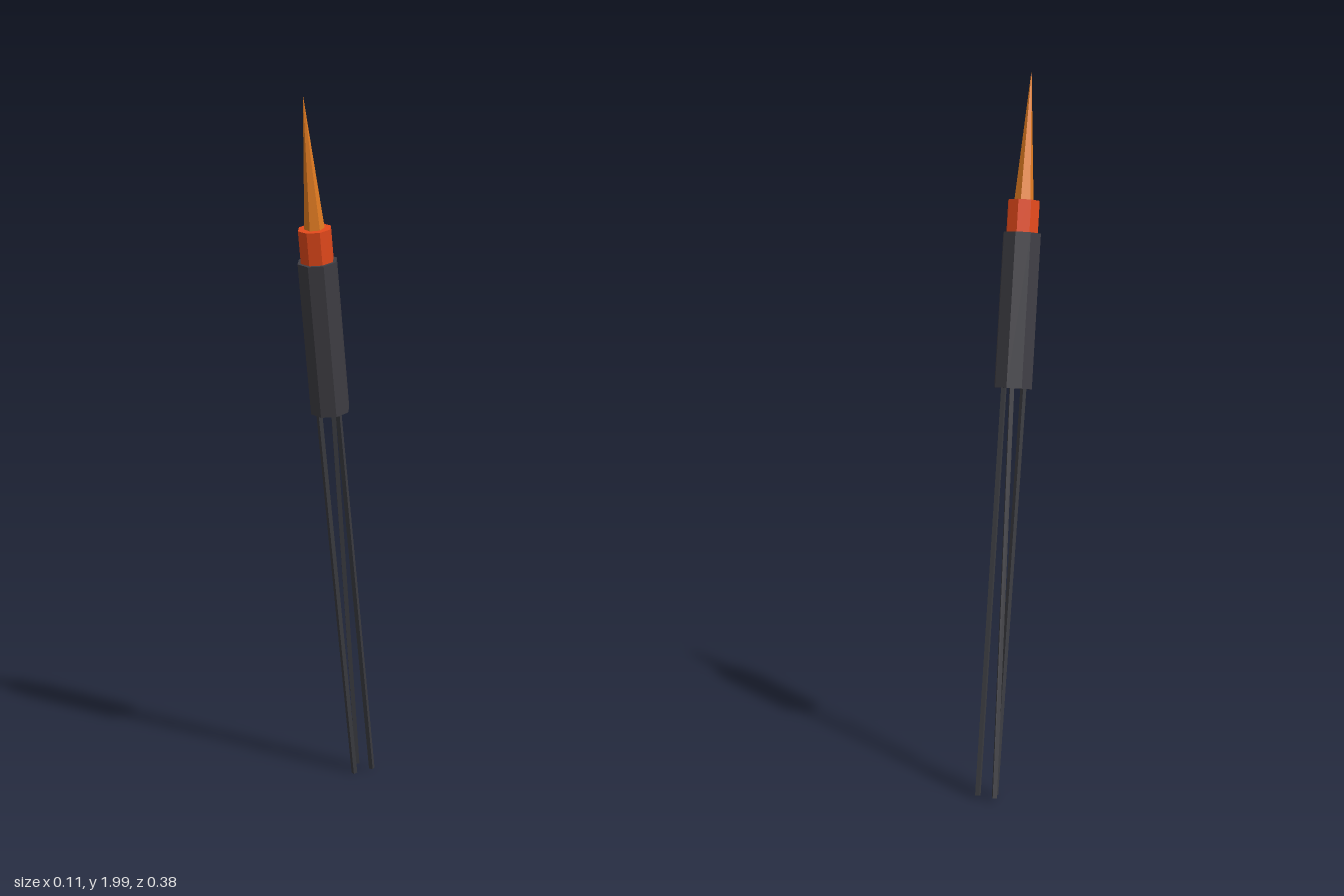
import * as THREE from 'three';

const paint = (name, color) => {
  const m = new THREE.MeshStandardMaterial({ color, flatShading: true });
  m.name = name;
  return m;
};

export function createModel() {
  const charcoal = paint('charcoal', 0x3f3e44);
  const darkSteel = paint('dark steel', 0x3a3b40);
  const red = paint('red orange', 0xe4491b);
  const amber = paint('amber', 0xe67e22);

  const model = new THREE.Group();
  model.name = 'tiltedDart';

  // everything leans forward, with the bottom of the body as the pivot
  const lean = new THREE.Group();
  lean.name = 'leaningAssembly';
  lean.position.set(0, 1.13, 0.035);
  lean.rotation.x = THREE.MathUtils.degToRad(10);
  model.add(lean);

  // prism or cone standing on the axis between two heights
  const stack = (name, mat, rTop, rBottom, y0, y1, sides) => {
    const mesh = new THREE.Mesh(new THREE.CylinderGeometry(rTop, rBottom, y1 - y0, sides), mat);
    mesh.name = name;
    mesh.position.y = (y0 + y1) / 2;
    lean.add(mesh);
  };
  stack('body', charcoal, 0.055, 0.055, -0.003, 0.426, 8);
  stack('collar', red, 0.046, 0.046, 0.426, 0.516, 8);
  stack('spike', amber, 0, 0.027, 0.516, 0.877, 6);

  // three thin square rods in a ring, each twisted slightly about its own radius
  const length = 1.145;
  const rodGeometry = new THREE.BoxGeometry(0.012, length, 0.012);
  for (let i = 0; i < 3; i++) {
    const arm = new THREE.Group();
    arm.name = 'rodMount' + (i + 1);
    arm.rotation.y = (i * Math.PI * 2) / 3;
    const rod = new THREE.Mesh(rodGeometry, darkSteel);
    rod.name = 'rod' + (i + 1);
    rod.position.set(0.03, 0.01 - length / 2, 0);
    rod.rotation.x = 0.0165;
    arm.add(rod);
    lean.add(arm);
  }
  return model;
}
